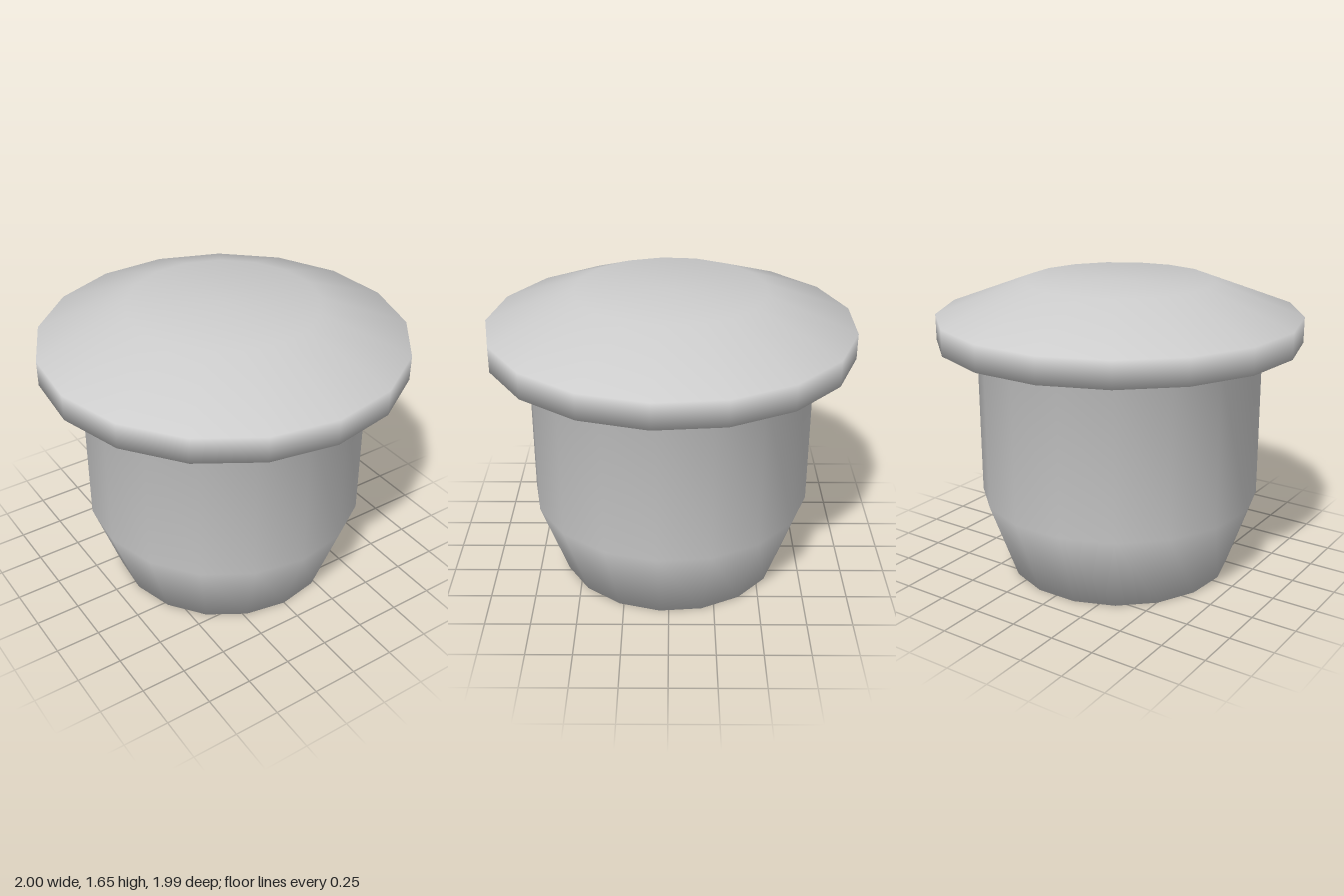
import * as THREE from 'three';
import { mergeVertices } from 'three/addons/utils/BufferGeometryUtils.js';

const SIDES = 17;

export function createModel() {
  const model = new THREE.Group();
  model.name = 'cappedPlug';

  const grey = new THREE.MeshStandardMaterial({ color: 0xcccccc });
  grey.name = 'light grey';

  // Closed profile: tapered foot, straight stem, overhanging rim, sloped cap
  const profile = [
    [0, 0], [0.632, 0], [0.786, 0.44], [0.786, 1.325],
    [1.004, 1.325], [1.004, 1.467], [0.522, 1.648], [0, 1.648],
  ].map(([r, y]) => new THREE.Vector2(r, y));

  // Weld all vertices so the shading flows smoothly over every edge
  const lathe = new THREE.LatheGeometry(profile, SIDES);
  lathe.deleteAttribute('normal');
  lathe.deleteAttribute('uv');
  const geometry = mergeVertices(lathe, 1e-4);
  geometry.computeVertexNormals();

  const plug = new THREE.Mesh(geometry, grey);
  plug.name = 'stemAndCap';
  plug.position.z = -0.0085; // an odd number of sides is not symmetric in z
  model.add(plug);

  return model;
}
